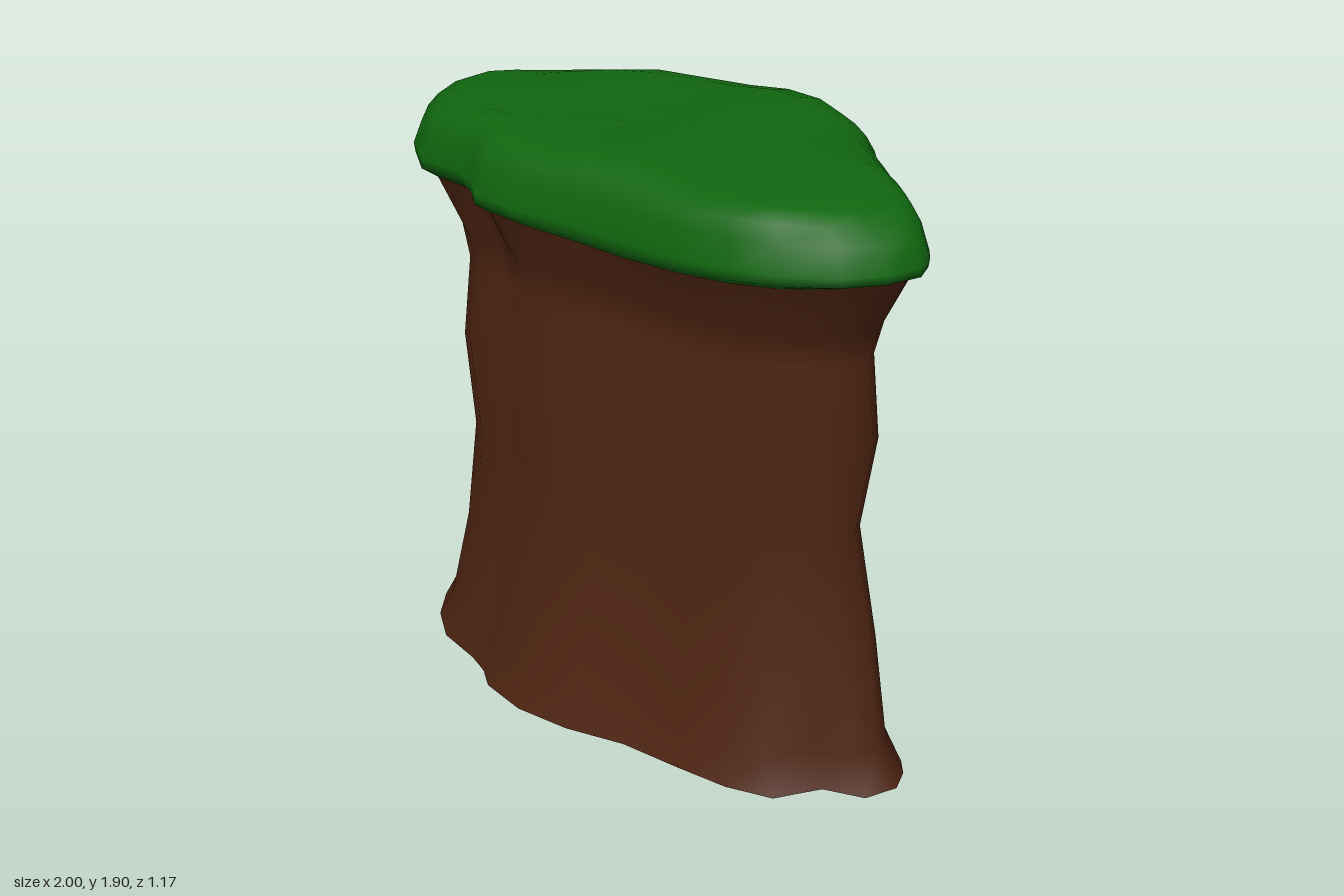
import * as THREE from 'three';

// Plan outline as [x, z]: left tip, back, right tip, front, notch on the front left
const OUTLINE = [
  [-1, 0.1], [-1, 0], [-0.95, -0.09], [-0.86, -0.19], [-0.7, -0.3], [-0.5, -0.42], [-0.3, -0.51],
  [-0.15, -0.55], [0.02, -0.565], [0.18, -0.55], [0.32, -0.5], [0.42, -0.43], [0.5, -0.34],
  [0.56, -0.285], [0.62, -0.23], [0.68, -0.18], [0.74, -0.13], [0.81, -0.085], [0.87, -0.04],
  [0.92, 0.0], [0.96, 0.05], [0.995, 0.13], [0.96, 0.24], [0.88, 0.34], [0.75, 0.43],
  [0.6, 0.48], [0.42, 0.5], [0.2, 0.5], [0, 0.51], [-0.2, 0.53], [-0.38, 0.53], [-0.46, 0.47],
  [-0.55, 0.43], [-0.73, 0.43], [-0.86, 0.34], [-0.95, 0.23],
];

// Trunk sections: height, scale to the left end, right end, front, back, then groove depth
const TRUNK = [
  [0, 0.99, 0.99, 0.99, 1.03, 0.03], [0.11, 0.92, 0.91, 0.92, 0.95, 0.06],
  [0.43, 0.83, 0.85, 0.79, 0.74, 0.13], [0.78, 0.77, 0.77, 0.74, 0.565, 0.19],
  [1.09, 0.81, 0.83, 0.765, 0.575, 0.19], [1.35, 0.8, 0.8, 0.73, 0.635, 0.18],
  [1.46, 0.83, 0.835, 0.77, 0.7, 0.13], [1.64, 0.95, 0.95, 0.93, 0.93, 0],
];

// Cap sections: height fraction from rim to top, scale of the outline
const CAP = [
  [0, 0.94], [0.1, 0.995], [0.24, 1], [0.6, 0.965], [0.8, 0.925],
  [0.93, 0.865], [1, 0.75], [1, 0.5], [1, 0.25], [1, 0.001],
];

const bell = (t, width) => Math.exp(-((t / width) ** 2));
const rimHeight = (x) => 1.615 + 0.04 * Math.abs(x - 0.2);
const topHeight = (x, z) =>
  1.886 + 0.01 * Math.cos(11.4 * (x - 0.1)) - 0.025 * Math.max(x, 0) - 0.025 * z;

// Joins closed rings of points, ordered bottom to top, into a smooth skin
function loft(rings) {
  const n = rings[0].length;
  const index = [];
  for (let j = 0; j < rings.length - 1; j++) {
    for (let i = 0; i < n; i++) {
      const a = j * n + i, b = j * n + ((i + 1) % n);
      index.push(a, a + n, b, b, a + n, b + n);
    }
  }
  const geometry = new THREE.BufferGeometry().setFromPoints(rings.flat());
  geometry.setIndex(index);
  geometry.computeVertexNormals();
  return geometry;
}

// One trunk point: the scaled outline, then local swellings and hollows
function trunkPoint([px, pz], [y, left, right, front, back, groove]) {
  const fade = 1 - (y / 1.64) ** 2;
  let x = px * (px < 0 ? left : right);
  let z = pz * (pz > 0 ? front : back);
  // the left end leans forward at the waist
  z += 0.05 * Math.sin((Math.PI * y) / 1.64) * THREE.MathUtils.smoothstep(-px, 0.3, 0.75);
  if (pz > 0.3) {
    z += 0.065 * fade * Math.exp(-(((px + 0.1) / 0.28) ** 4)); // foot swelling
    z += 0.045 * Math.min(1, 2 * fade) * bell(px + 0.52, 0.1); // notch shallower than on the cap
  }
  if (pz < 0.02) x -= groove * bell(px - 0.67, 0.2); // deep groove between back and right end
  // dent in the foot beside the right end
  const dent = 0.05 * Math.max(0, 1 - y / 0.3) * bell(px - 0.88, 0.06) * bell(pz - 0.34, 0.08);
  return new THREE.Vector3(x - dent, y === 1.64 ? rimHeight(px) + 0.01 : y, z - dent);
}

export function createModel() {
  const group = new THREE.Group();
  group.name = 'grassTopPillar';

  const addSkin = (name, color, rings) => {
    const material = new THREE.MeshStandardMaterial({ color, side: THREE.DoubleSide });
    const mesh = new THREE.Mesh(loft(rings), material);
    mesh.name = name;
    group.add(mesh);
  };

  // Earth trunk: waisted, flared at the foot, open below
  addSkin('earthTrunk', 0x4e2411, TRUNK.map((row) => OUTLINE.map((p) => trunkPoint(p, row))));

  // Grass cap: bevelled rim, sloping more at the back, and gently uneven top
  addSkin('grassCap', 0x10660f, CAP.map(([lift, scale]) => OUTLINE.map(([px, pz]) => {
    const x = px * scale, z = pz * (pz < 0 ? scale ** 1.4 : scale);
    return new THREE.Vector3(x, THREE.MathUtils.lerp(rimHeight(px), topHeight(x, z), lift), z);
  })));

  return group;
}
